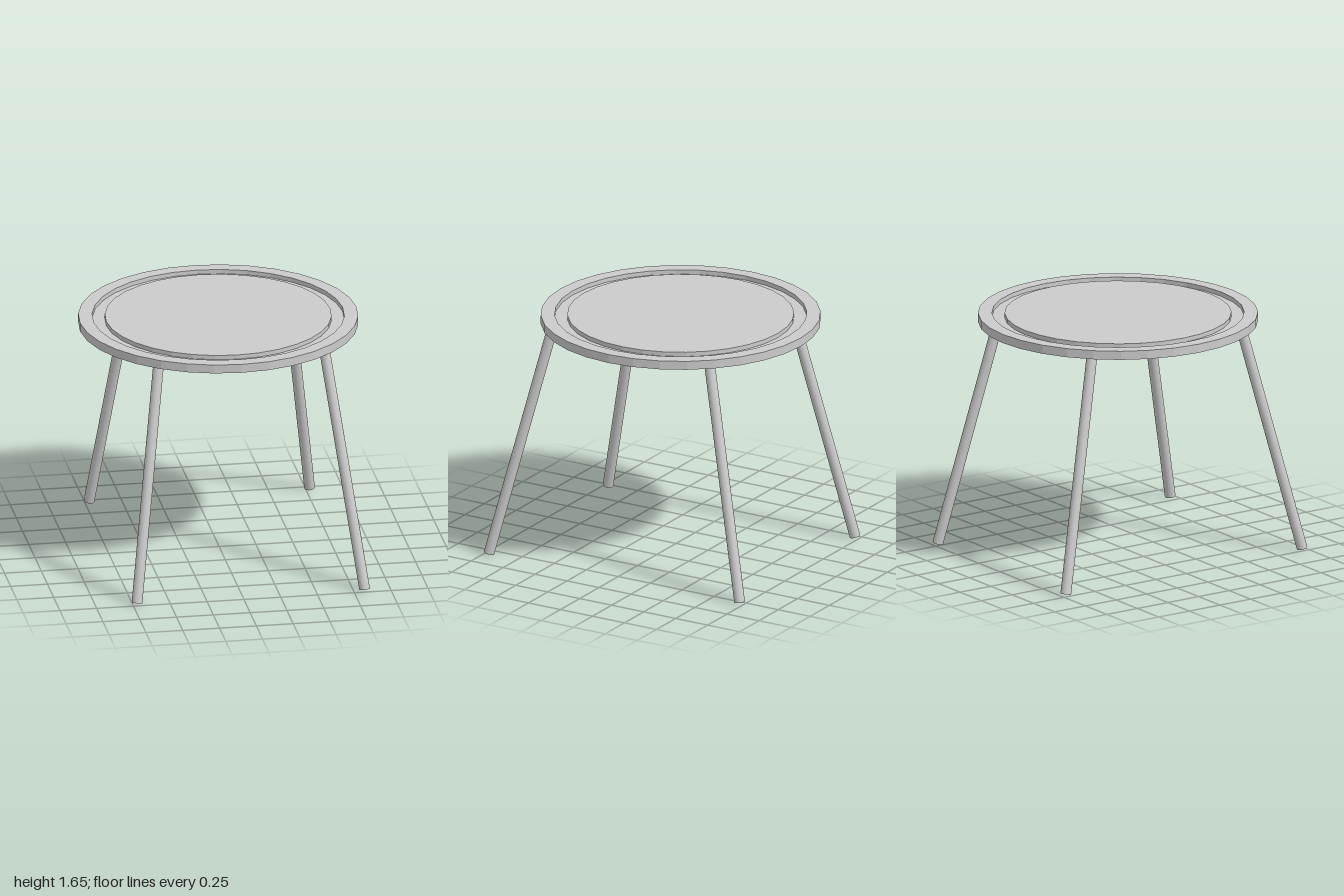
import * as THREE from 'three';

export function createModel() {
  const group = new THREE.Group();
  group.name = 'sideTable';
  const flat = new THREE.MeshStandardMaterial({ color: 0xcccccc, flatShading: true });
  const smooth = new THREE.MeshStandardMaterial({ color: 0xcccccc });

  // Round top: shallow conical underside, faceted rim and a ring groove
  const profile = [
    [0, 1.56], [0.938, 1.59], [0.938, 1.65], [0.845, 1.65],
    [0.845, 1.62], [0.76, 1.62], [0.76, 1.65], [0, 1.65],
  ].map(([r, y]) => new THREE.Vector2(r, y));
  const top = new THREE.Mesh(new THREE.LatheGeometry(profile, 32), flat);
  top.name = 'tableTop';
  top.position.z = -0.036;
  group.add(top);

  // Splayed round legs, cut square to their axis
  const radius = 0.036;
  const up = new THREE.Vector3(0, 1, 0);
  function addLeg(name, foot, head) {
    const a = new THREE.Vector3(...foot);
    const b = new THREE.Vector3(...head);
    const axis = b.clone().sub(a);
    const leg = new THREE.Mesh(new THREE.CylinderGeometry(radius, radius, axis.length(), 20), smooth);
    leg.name = name;
    leg.position.copy(a).add(b).multiplyScalar(0.5);
    leg.quaternion.setFromUnitVectors(up, axis.normalize());
    group.add(leg);
  }
  const legs = [
    ['frontLeftLeg', 0.825, 1],
    ['frontRightLeg', -0.72, 1],
    ['backLeftLeg', 0.777, -1],
    ['backRightLeg', -0.72, -1],
  ];
  for (const [name, x, side] of legs) {
    addLeg(name, [x, 0.01, side * 0.965], [x - Math.sign(x) * 0.21, 1.6, side * 0.6]);
  }
  return group;
}
